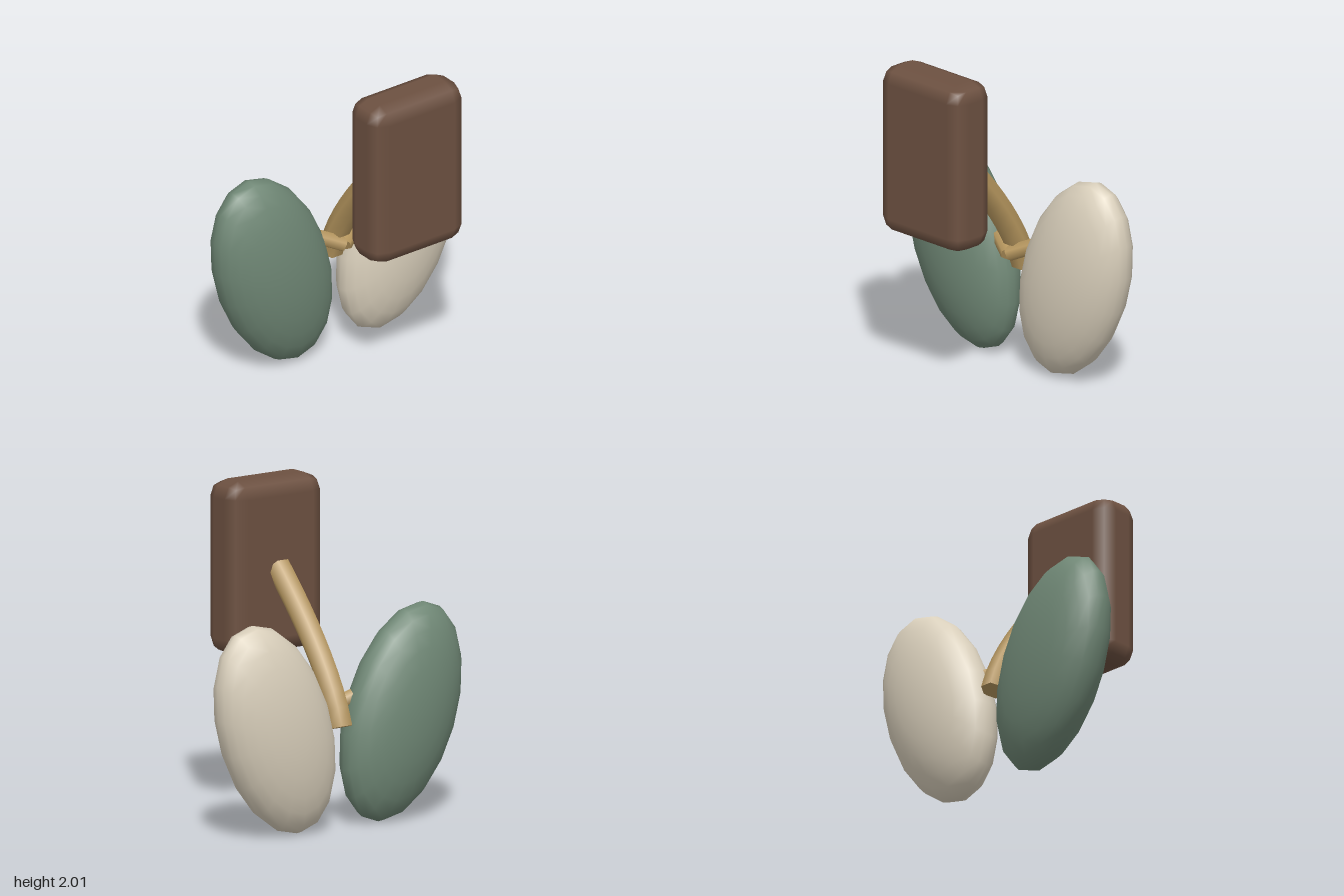
import * as THREE from 'three';
import { RoundedBoxGeometry } from 'three/addons/geometries/RoundedBoxGeometry.js';

const material = (name, color) => {
  const m = new THREE.MeshStandardMaterial({ color });
  m.name = name;
  return m;
};

export function createModel() {
  const brown = material('brown', 0x6d5141);
  const tan = material('tan', 0xb8985f);
  const cream = material('cream', 0xd9cfbb);
  const green = material('green', 0x6f8775);

  const model = new THREE.Group();
  model.name = 'model';

  const add = (parent, name, geometry, mat) => {
    const mesh = new THREE.Mesh(geometry, mat);
    mesh.name = name;
    parent.add(mesh);
    return mesh;
  };

  // Six-sided rod along a curve, closed with a flat cap at each end
  const addRod = (name, curve, radius, segments) => {
    const rod = new THREE.Group();
    rod.name = name;
    const tube = new THREE.TubeGeometry(curve, segments, radius, 6);
    add(rod, name + 'Side', tube, tan);
    const pos = tube.attributes.position;
    for (const [end, first] of [['Start', 0], ['End', segments * 7]]) {
      const ring = [];
      for (let i = 0; i < 6; i++) ring.push(new THREE.Vector3().fromBufferAttribute(pos, first + i));
      const out = curve.getTangent(end === 'Start' ? 0 : 1).multiplyScalar(end === 'Start' ? -1 : 1);
      const normal = ring[1].clone().sub(ring[0]).cross(ring[2].clone().sub(ring[0]));
      if (normal.dot(out) < 0) ring.reverse();
      const points = [];
      for (let i = 1; i < 5; i++) points.push(ring[0], ring[i], ring[i + 1]);
      const cap = new THREE.BufferGeometry().setFromPoints(points);
      cap.computeVertexNormals();
      add(rod, name + 'Cap' + end, cap, tan);
    }
    model.add(rod);
  };

  // Upright rounded block
  add(model, 'block', new RoundedBoxGeometry(0.68, 1.05, 0.305, 1, 0.1), brown)
    .position.set(0, 1.475, 0.388);

  // Curved stem from the back of the block down between the lobes
  addRod('stem', new THREE.QuadraticBezierCurve3(
    new THREE.Vector3(0, 1.47, 0.26),
    new THREE.Vector3(0, 0.96, -0.25),
    new THREE.Vector3(0, 0.6, -0.357)), 0.076, 10);

  // Flattened lobes leaning outwards, each with a short branch
  const lobe = new THREE.SphereGeometry(1, 18, 14).rotateX(Math.PI / 2).scale(0.38, 0.672, 0.215);
  for (const [side, s, mat] of [['left', 1, cream], ['right', -1, green]]) {
    const mesh = add(model, side + 'Lobe', lobe, mat);
    mesh.position.set(s * 0.464, 0.637, -0.325);
    mesh.rotation.z = -s * THREE.MathUtils.degToRad(20);
    addRod(side + 'Branch', new THREE.LineCurve3(
      new THREE.Vector3(0, 0.695, -0.225),
      new THREE.Vector3(s * 0.142, 0.76, -0.293)), 0.048, 1);
  }

  return model;
}
